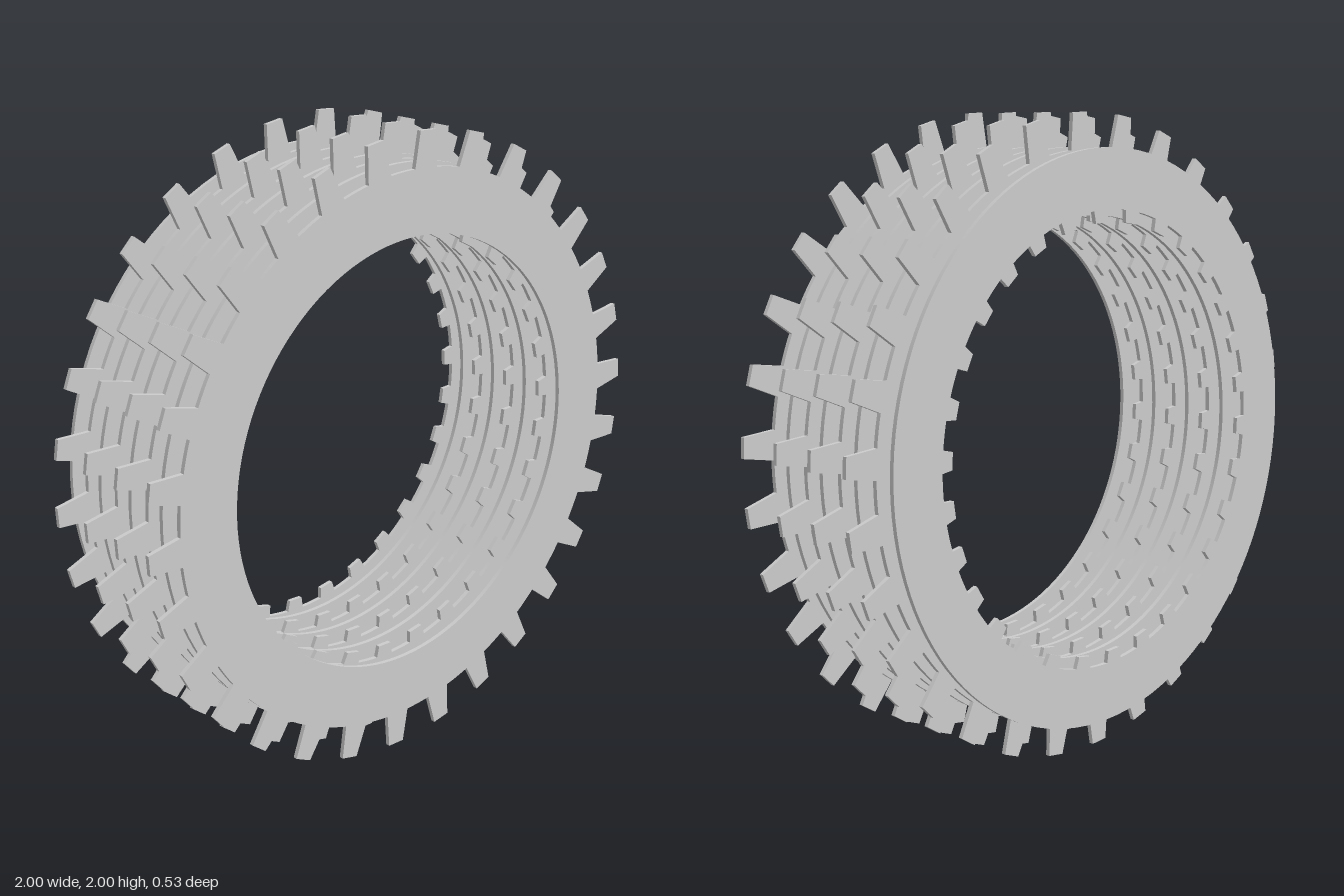
import * as THREE from 'three';
import { toCreasedNormals } from 'three/addons/utils/BufferGeometryUtils.js';

const TEETH = 30;
const PITCH = (Math.PI * 2) / TEETH;
const PHASE = Math.PI / 60;
const THICK = 0.014;
const PLATES = 8;
const SPACING = 0.0731;

// Outline of a ring edge carrying flat-tipped tapered teeth (tip may be outside or inside the root)
function toothedOutline(rootR, tipR, rootW, tipW) {
  const pts = [];
  const add = (r, a) => pts.push(new THREE.Vector2(r * Math.cos(a), r * Math.sin(a)));
  const halfRoot = Math.asin(rootW / 2 / rootR);
  const halfTip = Math.asin(tipW / 2 / tipR);
  for (let i = 0; i < TEETH; i++) {
    const a = PHASE + i * PITCH;
    add(rootR, a - halfRoot);
    add(tipR, a - halfTip);
    add(tipR, a + halfTip);
    add(rootR, a + halfRoot);
    // root arc up to the next tooth
    const gap = PITCH - 2 * halfRoot;
    for (let k = 1; k < 4; k++) add(rootR, a + halfRoot + (gap * k) / 4);
  }
  return pts;
}

function circleOutline(r, n = 120) {
  return Array.from({ length: n }, (_, i) => {
    const a = (i / n) * Math.PI * 2;
    return new THREE.Vector2(r * Math.cos(a), r * Math.sin(a));
  });
}

// Thin flat plate between two outlines, centred on z = 0
function plateGeometry(outer, inner) {
  const shape = new THREE.Shape(outer);
  shape.holes.push(new THREE.Path(inner));
  const geo = new THREE.ExtrudeGeometry(shape, { depth: THICK, bevelEnabled: false });
  geo.translate(0, 0, -THICK / 2);
  return toCreasedNormals(geo, 0.3);
}

export function createModel() {
  const group = new THREE.Group();
  group.name = 'clutchPlateStack';
  const material = new THREE.MeshStandardMaterial({ color: 0xcccccc });

  // Plates with teeth on the outer edge, and plates with teeth on the bore
  const outerToothed = plateGeometry(toothedOutline(0.89, 1.0, 0.09, 0.062), circleOutline(0.69));
  const innerToothed = plateGeometry(circleOutline(0.895), toothedOutline(0.71, 0.672, 0.066, 0.052));

  // Alternate the two kinds from front to back
  for (let i = 0; i < PLATES; i++) {
    const isOuter = i % 2 === 0;
    const plate = new THREE.Mesh(isOuter ? outerToothed : innerToothed, material);
    plate.name = (isOuter ? 'outerToothedPlate' : 'innerToothedPlate') + (Math.floor(i / 2) + 1);
    plate.position.set(0, 1, ((PLATES - 1) / 2 - i) * SPACING);
    group.add(plate);
  }
  return group;
}
